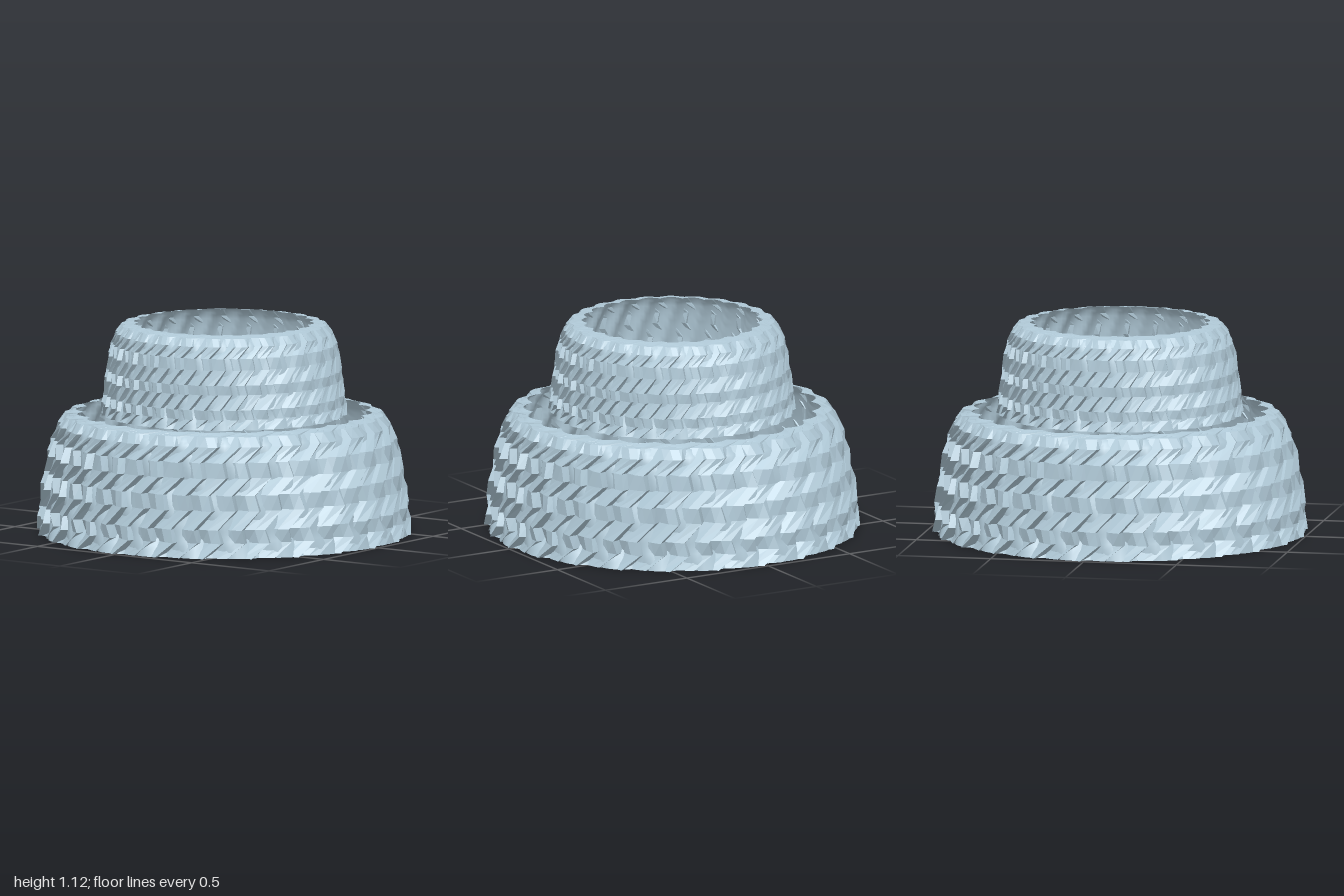
import * as THREE from 'three';

const TEETH = 24;                 // flutes around each ring
const STEP = Math.PI * 2 / TEETH;

// Sheet of stacked cross-section loops; point(row, col) gives [angle, radius, y]
function sheet(rows, cols, point) {
  const pos = [], index = [];
  for (let i = 0; i <= rows; i++) {
    for (let j = 0; j < cols; j++) {
      const [a, r, y] = point(i, j);
      pos.push(r * Math.sin(a), y, r * Math.cos(a));
    }
  }
  for (let i = 0; i < rows; i++) {
    for (let j = 0; j < cols; j++) {
      const k = (j + 1) % cols;
      const a = i * cols + j, b = i * cols + k, c = b + cols, d = a + cols;
      index.push(a, b, c, a, c, d);
    }
  }
  const g = new THREE.BufferGeometry();
  g.setAttribute('position', new THREE.Float32BufferAttribute(pos, 3));
  g.setIndex(index);
  g.computeVertexNormals();
  return g;
}

// Flutes at the rim, with outward points at every whole step
const scallop = a => Math.abs(Math.cos(a / STEP * Math.PI)) * 2 - 1;

// Outer bark: saw-edged plates that climb sideways in steps
function bark(profile, amp, rimAmp) {
  const at = [0, 0.42, 0.84], saw = [-1, 0.2, 1];
  const rows = profile.length - 1;
  const g = sheet(rows, TEETH * 6, (i, j) => {
    const tooth = Math.floor(j / 3), v = j % 3;
    const shift = Math.floor((i + 1) / 2) * 0.6 + (i % 2) * 0.15;
    const a = (tooth + at[v] + shift) * STEP / 2;
    const [r, y] = profile[i];
    const t = i / rows;
    const fade = i >= rows - 1 ? 0 : i === rows - 2 ? 0.35 : 1 - 0.35 * t;
    const size = ((i >> 1) + tooth) % 2 ? 1 : 0.5;
    return [a, r - amp + amp * fade * size * saw[v] + (1 - fade) * rimAmp * scallop(a), y];
  }).toNonIndexed();
  g.computeVertexNormals();
  return g;
}

// Inner lining: smooth flutes twisting the opposite way
function lining(profile, amp, rimAmp, twist, gap) {
  const rows = 24, last = profile.length - 1;
  return sheet(rows, TEETH * 8, (i, j) => {
    const t = i / rows, f = t * last, k = Math.min(Math.floor(f), last - 1), m = f - k;
    const r = THREE.MathUtils.lerp(profile[k][0], profile[k + 1][0], m);
    const y = THREE.MathUtils.lerp(profile[k][1], profile[k + 1][1], m);
    const a = j * STEP / 8;
    const inset = gap * Math.min(1, t * 6, (1 - t) * 6);
    const wave = scallop(a - twist * (1 - t));
    return [a, r - amp - inset + rimAmp * wave, y];
  });
}

export function createModel() {
  const model = new THREE.Group();
  const color = 0xb0c9d7;
  const stone = new THREE.MeshStandardMaterial({ color, side: THREE.DoubleSide });
  stone.name = 'pale blue';

  const rings = [
    {
      name: 'lowerRing', amp: 0.035, rim: 0.022, twist: 0.45, gap: 0.025,
      profile: [[0.995, 0], [0.99, 0.08], [0.985, 0.15], [0.975, 0.25], [0.96, 0.33],
        [0.945, 0.42], [0.925, 0.5], [0.9, 0.58], [0.86, 0.63], [0.8, 0.645]],
    },
    {
      name: 'upperRing', amp: 0.02, rim: 0.014, twist: 0.35, gap: 0.015,
      profile: [[0.655, 0.635], [0.65, 0.69], [0.645, 0.74], [0.635, 0.82], [0.63, 0.87],
        [0.618, 0.95], [0.605, 1.01], [0.585, 1.07], [0.55, 1.11], [0.485, 1.12]],
    },
  ];
  for (const { name, profile, amp, rim, twist, gap } of rings) {
    const ring = new THREE.Group();
    ring.name = name;
    const outer = new THREE.Mesh(bark(profile, amp, rim), stone);
    outer.name = name + 'Bark';
    const inner = new THREE.Mesh(lining(profile, amp, rim, twist, gap), stone);
    inner.name = name + 'Lining';
    ring.add(outer, inner);
    model.add(ring);
  }
  return model;
}
